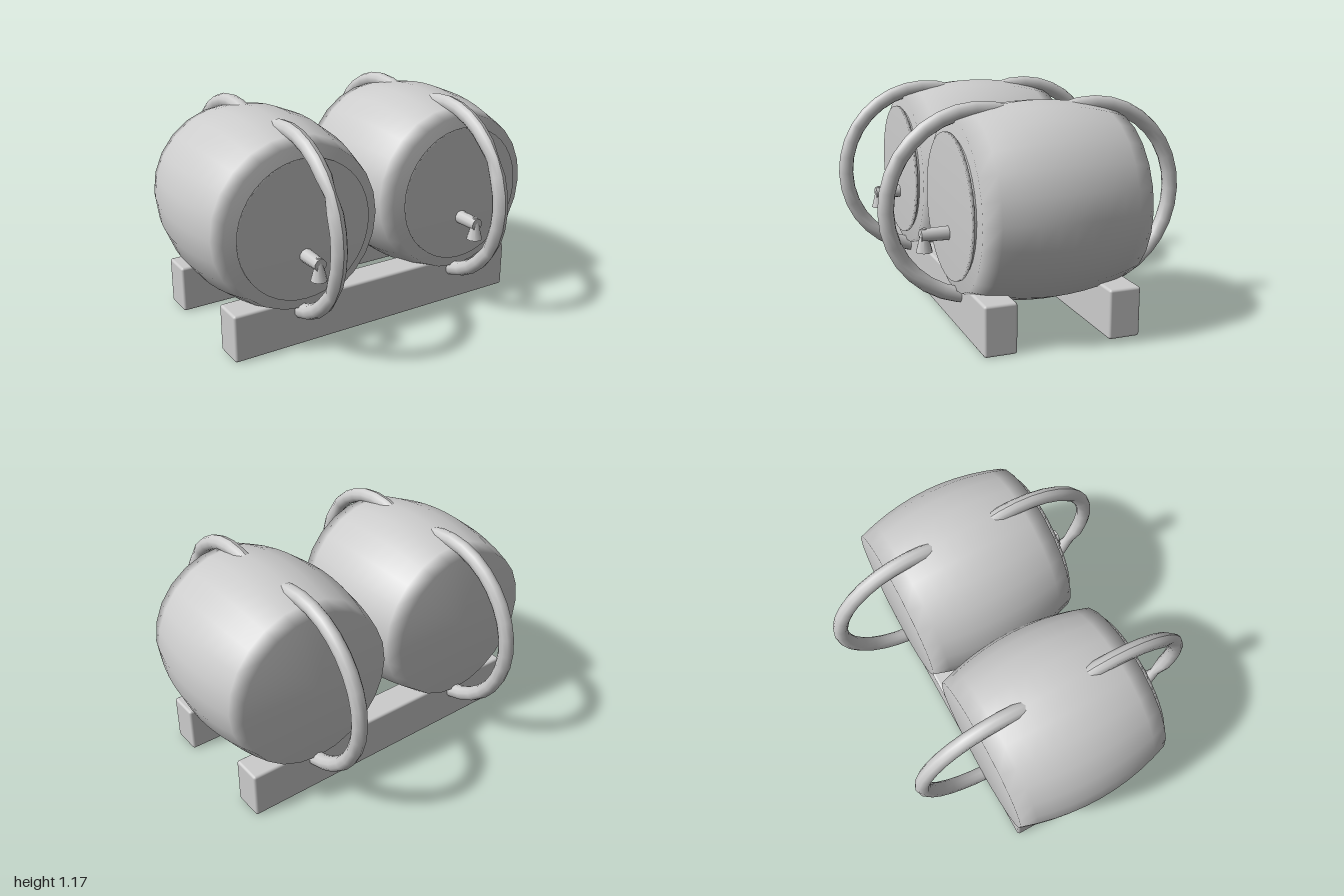
import * as THREE from 'three';
import { RoundedBoxGeometry } from 'three/addons/geometries/RoundedBoxGeometry.js';

const AXIS_Y = 0.658;

function createMesh(name, geometry, material) {
  const mesh = new THREE.Mesh(geometry, material);
  mesh.name = name;
  return mesh;
}

// Solid turned around the z axis, from [radius, z] points running back to front
function turned(points, sides) {
  const profile = points.map(([r, z]) => new THREE.Vector2(r, z));
  return new THREE.LatheGeometry(profile, sides).rotateX(Math.PI / 2);
}

// Bulging body with closed ends
function barrelGeometry() {
  const half = 0.437;
  const points = [[0, -half]];
  for (let i = 0; i <= 10; i++) {
    const z = -half + (2 * half * i) / 10;
    points.push([0.508 - 0.39 * z * z, z]);
  }
  points.push([0, half]);
  return turned(points, 24);
}

// Arc of tube in the y-z plane, narrowed in x at two twists if wanted
function hoopGeometry(pinched) {
  const arc = THREE.MathUtils.degToRad(220);
  const geometry = new THREE.TorusGeometry(0.475, 0.041, 10, 20, arc);
  geometry.rotateZ(-arc / 2).rotateY(-Math.PI / 2);
  const p = geometry.attributes.position;
  if (pinched) {
    for (let i = 0; i < p.count; i++) {
      const angle = THREE.MathUtils.radToDeg(Math.atan2(p.getY(i), p.getZ(i)));
      if (Math.abs(Math.abs(angle) - 33) < 3) p.setX(i, p.getX(i) * 0.6);
    }
    geometry.computeVertexNormals();
  }
  return geometry;
}

function createBarrel(name, x, material) {
  const barrel = new THREE.Group();
  barrel.name = name;
  barrel.position.set(x, AXIS_Y, 0);

  barrel.add(createMesh('barrelBody', barrelGeometry(), material));

  // Front lid on a slightly smaller backing
  barrel.add(createMesh('lidBacking', turned([[0.35, 0.43], [0.35, 0.456]], 32), material));
  barrel.add(createMesh('lid', turned([[0, 0.452], [0.37, 0.452], [0.37, 0.469], [0, 0.469]], 40), material));

  // Curved handles, front and back
  const frontHoop = createMesh('frontHoop', hoopGeometry(true), material);
  frontHoop.position.z = 0.305;
  const backHoop = createMesh('backHoop', hoopGeometry(false), material);
  backHoop.rotation.y = Math.PI;
  backHoop.position.z = -0.305;
  barrel.add(frontHoop, backHoop);

  // Tap: a level pipe with a flared spout
  const tap = new THREE.Group();
  tap.name = 'tap';
  const pipe = createMesh('tapPipe', new THREE.CylinderGeometry(0.033, 0.037, 0.15, 10).rotateX(Math.PI / 2), material);
  pipe.position.set(0, 0.525 - AXIS_Y, 0.535);
  const spout = createMesh('tapSpout', new THREE.CylinderGeometry(0.012, 0.043, 0.12, 10), material);
  spout.position.set(0, 0.5 - AXIS_Y, 0.592);
  tap.add(pipe, spout);
  barrel.add(tap);
  return barrel;
}

export function createModel() {
  const model = new THREE.Group();
  model.name = 'barrelRack';
  const grey = new THREE.MeshStandardMaterial({ color: 0xcccccc });
  grey.name = 'light grey';

  model.add(createBarrel('leftBarrel', 0.488, grey), createBarrel('rightBarrel', -0.488, grey));

  // Two support beams
  for (const [name, z] of [['frontBeam', 0.328], ['backBeam', -0.328]]) {
    const beam = createMesh(name, new RoundedBoxGeometry(1.736, 0.26, 0.17, 2, 0.014), grey);
    beam.position.set(0, 0.13, z);
    model.add(beam);
  }
  return model;
}
